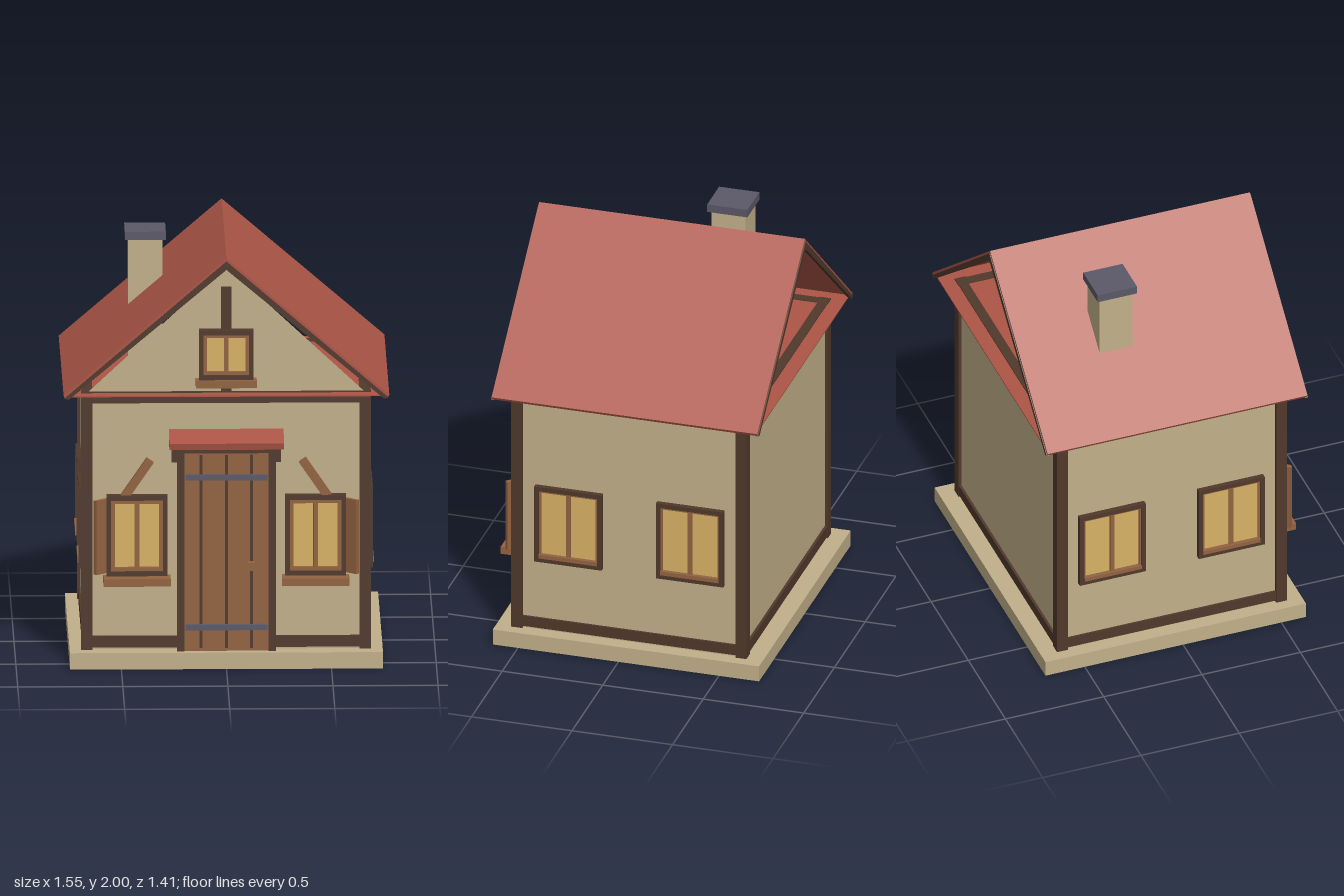
import * as THREE from 'three';

const mat = (name, color, double) => {
  const m = new THREE.MeshStandardMaterial({ color });
  m.name = name;
  if (double) m.side = THREE.DoubleSide;
  return m;
};

export function createModel() {
  const plaster = mat('plaster', 0xc2b08a, true);
  const roofRed = mat('roofRed', 0xac5546, true);
  const timber = mat('darkTimber', 0x50392b);
  const wood = mat('brownWood', 0x936341);
  const glass = mat('warmGlass', 0xd8b265);
  const slate = mat('slate', 0x5b5868);

  const house = new THREE.Group();
  house.name = 'cottage';

  // Box given by its minimum and maximum on each axis
  const box = (name, m, x0, x1, y0, y1, z0, z1, parent = house) => {
    const mesh = new THREE.Mesh(new THREE.BoxGeometry(x1 - x0, y1 - y0, z1 - z0), m);
    mesh.position.set((x0 + x1) / 2, (y0 + y1) / 2, (z0 + z1) / 2);
    mesh.name = name;
    parent.add(mesh);
    return mesh;
  };

  const front = 0.535, back = -0.605, wallX = 0.675;

  // Plinth and walls
  box('plinth', plaster, -0.745, 0.745, 0, 0.08, -0.7, 0.625);
  box('walls', plaster, -wallX, wallX, 0.08, 1.322, back, front);

  // Corner posts, then sill and top beams on the sides
  for (const s of [-1, 1]) {
    const [x0, x1] = s < 0 ? [-0.69, -0.635] : [0.635, 0.69];
    box('cornerPost', timber, x0, x1, 0.08, 1.335, 0.495, 0.55);
    box('cornerPost', timber, x0, x1, 0.08, 1.335, -0.62, -0.565);
    for (const y of [0.09, 1.28])
      box('sideBeam', timber, x0 + (s < 0 ? 0.005 : 0), x1 - (s < 0 ? 0 : 0.005), y, y + 0.054, -0.57, 0.5);
    box('frontSillBeam', timber, s < 0 ? -0.64 : 0.23, s < 0 ? -0.23 : 0.64, 0.09, 0.145, 0.5, 0.547);
  }
  box('frontTopBeam', timber, -0.64, 0.64, 1.28, 1.335, 0.5, 0.548);
  box('backTopBeam', timber, -0.64, 0.64, 1.28, 1.335, -0.618, -0.57);
  box('backSillBeam', timber, -0.64, 0.64, 0.09, 0.145, -0.618, -0.57);

  // Front gable
  const tri = new THREE.Shape([
    new THREE.Vector2(-0.66, 1.33), new THREE.Vector2(0.66, 1.33), new THREE.Vector2(0, 1.945)]);
  const gable = new THREE.Mesh(new THREE.ShapeGeometry(tri), plaster);
  gable.position.z = front;
  gable.name = 'frontGable';
  house.add(gable);
  box('gablePost', timber, -0.025, 0.025, 1.335, 1.845, front - 0.005, 0.553);

  // Roof: two slopes and attic floor, open at the back
  const eaveX = 0.775, eaveY = 1.328, ridgeY = 2;
  const band = (drop0, drop1, s) => new THREE.Shape([
    new THREE.Vector2(0, ridgeY - drop0), new THREE.Vector2(s * eaveX, eaveY - drop0 + 0.006),
    new THREE.Vector2(s * (eaveX - drop1 * 0.55), eaveY - drop1 * 0.55), new THREE.Vector2(0, ridgeY - drop1)]);
  const extrude = (name, shape, m, z0, z1) => {
    const mesh = new THREE.Mesh(
      new THREE.ExtrudeGeometry(shape, { depth: z1 - z0, bevelEnabled: false }), m);
    mesh.position.z = z0;
    mesh.name = name;
    house.add(mesh);
  };
  for (const s of [-1, 1]) {
    extrude('roofSlope', band(0, 0.014, s), roofRed, -0.7, 0.622);
    // Barge boards under both roof ends
    for (const [z0, z1] of [[0.61, 0.626], [-0.704, -0.688]]) {
      extrude('bargeBoard', new THREE.Shape([
        new THREE.Vector2(0, 1.986), new THREE.Vector2(s * 0.772, 1.32),
        new THREE.Vector2(s * 0.75, 1.315), new THREE.Vector2(0, 1.945)]), timber, z0, z1);
    }
  }
  box('atticFloor', roofRed, -0.765, 0.765, 1.324, 1.33, -0.69, 0.612);

  // Chimney
  box('chimney', plaster, -0.455, -0.29, 1.335, 1.93, -0.315, -0.147);
  box('chimneyCap', slate, -0.47, -0.275, 1.925, 1.965, -0.33, -0.13);

  // Window facing +z, centred on its own origin, with its back on z = 0
  const makeWindow = (name, w, h, depth, sash) => {
    const g = new THREE.Group();
    g.name = name;
    const ring = (part, m, a, b, t, d) => {
      for (const s of [-1, 1]) {
        const cx = s * (a - t / 2), cy = s * (b - t / 2);
        box(part, m, cx - t / 2, cx + t / 2, -b, b, 0, d, g);
        box(part, m, -a + t, a - t, cy - t / 2, cy + t / 2, 0, d, g);
      }
    };
    const f = 0.022;
    ring('windowFrame', timber, w / 2, h / 2, f, depth);
    ring('windowSash', wood, w / 2 - f, h / 2 - f, sash, depth * 0.75);
    box('mullion', wood, -0.011, 0.011, -h / 2 + f, h / 2 - f, 0, depth * 0.75, g);
    box('pane', glass, -w / 2 + f, w / 2 - f, -h / 2 + f, h / 2 - f, 0, depth * 0.4, g);
    house.add(g);
    return g;
  };

  // Side windows
  for (const s of [-1, 1]) for (const z of [0.265, -0.34]) {
    const win = makeWindow('sideWindow', 0.335, 0.4, 0.025, 0.009);
    win.position.set(s * wallX, 0.65, z);
    win.rotation.y = s * Math.PI / 2;
    box('sideSill', wood, -0.145, 0.145, -0.178, -0.158, 0, 0.03, win);
  }

  // Front windows with sill, open shutter and slanted slat
  for (const s of [-1, 1]) {
    makeWindow('frontWindow', 0.29, 0.39, 0.05, 0.018).position.set(s * 0.425, 0.64, front);
    const c = s * 0.425;
    box('frontSill', wood, c - 0.16, c + 0.16, 0.405, 0.442, front, 0.635);
    const shutter = box('shutter', wood, -0.04, 0.04, 0.455, 0.815, -0.01, 0.01);
    shutter.position.x = s * 0.595;
    shutter.position.z = 0.567;
    shutter.rotation.y = -s * 0.75;
    const slat = box('slantedSlat', wood, -0.02, 0.02, 0, 0.24, 0.54, 0.57);
    slat.position.set(s * 0.43, 0.905, 0.553);
    slat.rotation.z = s * 0.6;
  }

  // Gable window
  makeWindow('gableWindow', 0.26, 0.24, 0.055, 0.016).position.set(0, 1.52, front);
  box('gableSill', wood, -0.145, 0.145, 1.365, 1.4, front, 0.61);

  // Door with frame, plank gaps, straps and handle
  box('door', wood, -0.2, 0.2, 0.08, 1.045, front, 0.583);
  for (const s of [-1, 1]) {
    box('doorJamb', timber, s * 0.2175 - 0.0175, s * 0.2175 + 0.0175, 0.08, 1.1, front, 0.597);
    box('awningBracket', timber, s * 0.246 - 0.014, s * 0.246 + 0.014, 1.0, 1.1, front, 0.592);
  }
  box('doorLintel', timber, -0.2, 0.2, 1.045, 1.1, front, 0.597);
  for (const x of [-0.12, 0, 0.12])
    box('plankGap', timber, x - 0.007, x + 0.007, 0.095, 1.035, 0.58, 0.587);
  for (const y of [0.185, 0.915]) box('doorStrap', slate, -0.195, 0.195, y, y + 0.026, 0.58, 0.607);
  box('doorHandle', wood, 0.102, 0.136, 0.478, 0.517, 0.58, 0.622);

  // Sloping awning over the door
  const awning = box('awning', roofRed, -0.273, 0.273, -0.016, 0.016, -0.088, 0.088);
  awning.position.set(0, 1.118, 0.617);
  awning.rotation.x = 0.2;

  return house;
}
